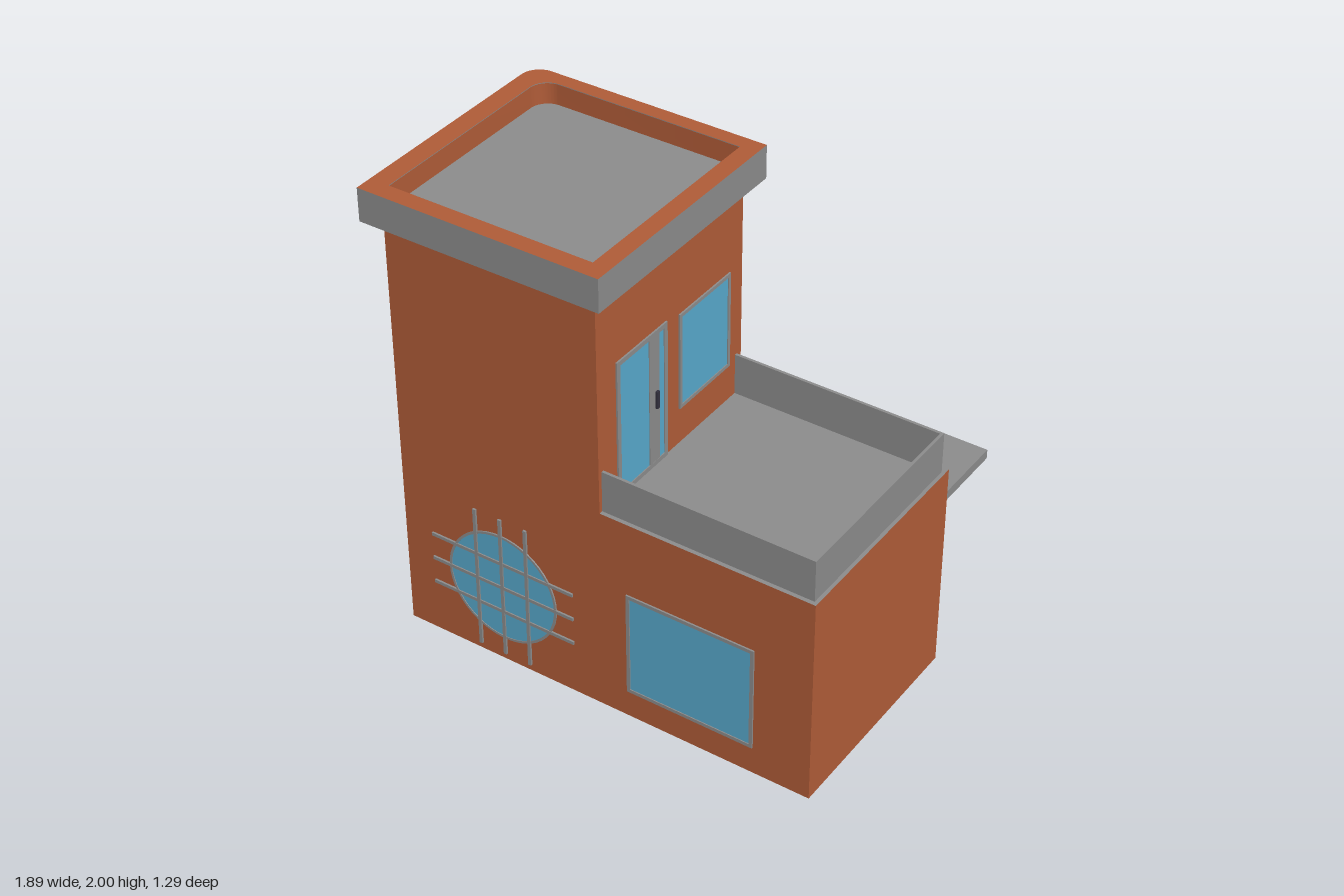
import * as THREE from 'three';
import { toCreasedNormals } from 'three/addons/utils/BufferGeometryUtils.js';

const mat = (name, color) => {
  const m = new THREE.MeshStandardMaterial({ color });
  m.name = name;
  return m;
};

export function createModel() {
  const brick = mat('brick orange', 0xb05c38);
  const gray = mat('concrete gray', 0x8c8c8c);
  const glass = mat('glass blue', 0x58a8cc);
  const dark = mat('dark slat', 0x33313f);
  const root = new THREE.Group();
  root.name = 'house';

  const add = (parent, name, geo, material) => {
    const m = new THREE.Mesh(geo, material);
    m.name = name;
    parent.add(m);
    return m;
  };
  // Box given by its minimum and maximum corners
  const box = (parent, name, material, [x0, y0, z0], [x1, y1, z1]) => {
    const m = add(parent, name, new THREE.BoxGeometry(x1 - x0, y1 - y0, z1 - z0), material);
    m.position.set((x0 + x1) / 2, (y0 + y1) / 2, (z0 + z1) / 2);
    return m;
  };

  // Plan outline, rounded only at the back corner on the -x side
  const plan = (x0, x1, z0, z1, r, Type = THREE.Shape) => {
    const s = new Type();
    s.moveTo(x0, -z1);
    s.lineTo(x1, -z1);
    s.lineTo(x1, -z0);
    s.lineTo(x0 + r, -z0);
    s.absarc(x0 + r, -z0 - r, r, Math.PI / 2, Math.PI, false);
    s.closePath();
    return s;
  };
  const raise = (name, shape, y0, y1, material) => {
    const geo = new THREE.ExtrudeGeometry(shape, { depth: y1 - y0, bevelEnabled: false, curveSegments: 10 });
    geo.rotateX(-Math.PI / 2);
    const m = add(root, name, toCreasedNormals(geo, 0.6), material);
    m.position.y = y0;
  };
  const ring = (o, i) => {
    const s = plan(...o);
    s.holes.push(plan(...i, THREE.Path));
    return s;
  };

  // Tower and its parapet roof
  const outer = [-0.95, 0.09, -0.4, 0.65, 0.08];
  const inner = [-0.87, 0.02, -0.34, 0.58, 0.08];
  const lining = [-0.866, 0.016, -0.336, 0.576, 0.076];
  raise('towerWalls', plan(-0.89, 0.03, -0.34, 0.59, 0.09), 0.01, 1.86, [gray, brick]);
  raise('towerRoofSlab', plan(...outer), 1.86, 1.91, gray);
  raise('towerParapet', ring(outer, inner), 1.91, 1.997, gray);
  raise('towerParapetLining', ring(inner, lining), 1.91, 1.997, brick);
  raise('towerParapetCap', ring(outer, lining), 1.997, 2, [brick, gray]);

  // Lower wing: brick walls, gray top and underside
  box(root, 'wingWalls', [brick, brick, gray, gray, brick, brick], [0.03, 0.01, -0.34], [0.945, 0.932, 0.59]);
  box(root, 'terraceWallFront', gray, [0.03, 0.932, 0.561], [0.93, 1.11, 0.573]);
  box(root, 'terraceWallBack', gray, [0.03, 0.932, -0.312], [0.93, 1.11, -0.3]);
  box(root, 'terraceWallSide', gray, [0.918, 0.932, -0.3], [0.93, 1.11, 0.561]);

  // Canopy with slat screens, and slats on the tower corner
  box(root, 'canopy', gray, [0.03, 0.79, -0.645], [0.945, 0.83, -0.34]);
  for (let i = 0; i < 5; i++) {
    const z = -0.376 - i * 0.063;
    box(root, 'canopySlat', dark, [0.057, 0, z - 0.016], [0.088, 0.79, z + 0.016]);
  }
  for (let i = 0; i < 3; i++) {
    const x = 0.91 - i * 0.063, z = -0.125 - i * 0.063;
    box(root, 'entrySlat', glass, [x - 0.016, 0, -0.372], [x + 0.016, 0.79, -0.34]);
    box(root, 'towerSlat', glass, [-0.922, 0, z - 0.016], [-0.88, 1.86, z + 0.016]);
  }

  // Wall frames: local x runs to the viewer's right, local z points outward
  const wall = (name, x, z, turn) => {
    const g = new THREE.Group();
    g.name = name;
    g.position.set(x, 0, z);
    g.rotation.y = turn;
    root.add(g);
    return g;
  };
  const front = wall('frontOpenings', 0, 0.59, 0);
  const side = wall('terraceOpenings', 0.03, 0, Math.PI / 2);
  const back = wall('backOpenings', 0, -0.34, Math.PI);

  // Rectangular pane with a thin frame
  const pane = (g, name, u0, u1, v0, v1, t = 0.015) => {
    box(g, name + 'Glass', glass, [u0 + t, v0 + t, 0], [u1 - t, v1 - t, 0.003]);
    for (const [a, b] of [[u0, u0 + t], [u1 - t, u1]])
      box(g, name + 'Frame', gray, [a, v0, 0], [b, v1, 0.007]);
    for (const [a, b] of [[v0, v0 + t], [v1 - t, v1]])
      box(g, name + 'Frame', gray, [u0 + t, a, 0], [u1 - t, b, 0.007]);
  };
  pane(front, 'frontWindow', 0.143, 0.7, 0.135, 0.605);
  pane(side, 'terraceWindow', -0.08, 0.255, 1.09, 1.51);
  pane(back, 'backWindow', 0.164, 0.713, 0.18, 0.59);

  // Sliding doors
  pane(side, 'terraceDoor', -0.476, -0.16, 0.932, 1.53, 0.02);
  box(side, 'terraceDoorStile', gray, [-0.275, 0.95, 0], [-0.212, 1.51, 0.006]);
  box(side, 'terraceDoorHandle', dark, [-0.239, 1.19, 0.006], [-0.224, 1.265, 0.015]);
  pane(back, 'entryDoor', -0.69, -0.16, 0.01, 0.63, 0.02);
  box(back, 'entryDoorStile', gray, [-0.335, 0.03, 0], [-0.285, 0.61, 0.006]);
  box(back, 'entryDoorStile', gray, [-0.585, 0.03, 0], [-0.55, 0.61, 0.006]);
  box(back, 'entryDoorHandle', dark, [-0.318, 0.19, 0.006], [-0.303, 0.27, 0.015]);

  // Round window with a lattice; reach sets half the bar length per offset
  const roundWindow = (g, name, u, v, r, reach) => {
    const w = new THREE.Group();
    w.name = name;
    w.position.set(u, v, 0);
    g.add(w);
    add(w, 'roundGlass', new THREE.CircleGeometry(r, 48), glass).position.z = 0.003;
    const rim = new THREE.Shape().absarc(0, 0, r, 0, Math.PI * 2);
    rim.holes.push(new THREE.Path().absarc(0, 0, r - 0.01, 0, Math.PI * 2));
    const geo = new THREE.ExtrudeGeometry(rim, { depth: 0.006, bevelEnabled: false, curveSegments: 24 });
    add(w, 'roundFrame', toCreasedNormals(geo, 0.6), gray);
    for (const o of [-0.117, 0, 0.117]) {
      const h = reach(o);
      box(w, 'latticeBar', gray, [o - 0.007, -h, 0], [o + 0.007, h, 0.009]);
      box(w, 'latticeBar', gray, [-h, o - 0.007, 0], [h, o + 0.007, 0.008]);
    }
  };
  roundWindow(front, 'frontRoundWindow', -0.43, 0.37, 0.252, () => 0.33);
  roundWindow(back, 'backRoundWindow', 0.44, 1.4, 0.24, (o) => Math.sqrt(0.235 ** 2 - o * o));

  return root;
}
